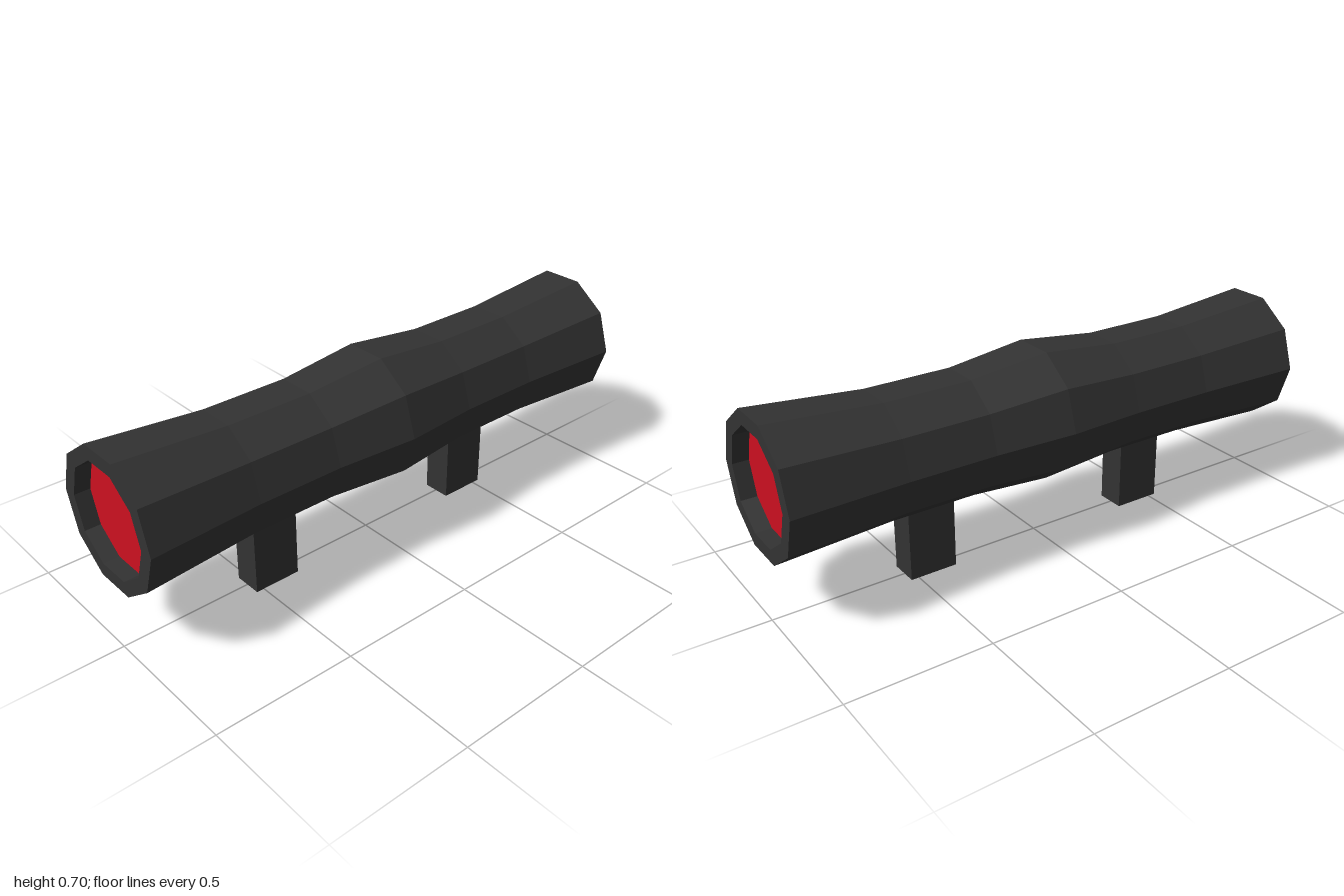
import * as THREE from 'three';

const AXIS_Y = 0.468;   // height of the tube's axis
const SIDES = 10;
const LENS_X = 0.945;   // lenses sit slightly inside the ends
const LENS_R = 0.192;

export function createModel() {
  const model = new THREE.Group();
  const black = new THREE.MeshStandardMaterial({ color: 0x333333, flatShading: true });
  const red = new THREE.MeshStandardMaterial({ color: 0xcc1020, flatShading: true });

  const add = (name, geometry, material, x, y, z = 0) => {
    const mesh = new THREE.Mesh(geometry, material);
    mesh.name = name;
    mesh.position.set(x, y, z);
    model.add(mesh);
    return mesh;
  };

  // Ten-sided tube with two waists; the profile turns in at both ends to form the rims
  const profile = [
    [LENS_R, -LENS_X], [LENS_R, -1], [0.243, -1], [0.216, -0.6], [0.216, -0.29], [0.243, 0],
    [0.216, 0.29], [0.216, 0.6], [0.243, 1], [LENS_R, 1], [LENS_R, LENS_X],
  ].map(([r, along]) => new THREE.Vector2(r, along));
  const tube = new THREE.LatheGeometry(profile, SIDES);
  tube.rotateZ(-Math.PI / 2);

  // The waists sag a little off the axis
  const p = tube.attributes.position;
  for (let i = 0; i < p.count; i++) {
    const ax = Math.abs(p.getX(i));
    if (ax > 0.1 && ax < 0.8) {
      p.setY(i, p.getY(i) - 0.006);
      p.setZ(i, p.getZ(i) - 0.003);
    }
  }
  add('tube', tube, black, 0, AXIS_Y);

  // A recessed lens at each end and a mounting post under each waist
  for (const [side, s] of [['left', 1], ['right', -1]]) {
    const lens = add(side + 'Lens', new THREE.CircleGeometry(LENS_R, SIDES), red, s * LENS_X, AXIS_Y);
    lens.rotation.y = s * Math.PI / 2;
    add(side + 'Post', new THREE.BoxGeometry(0.172, 0.29, 0.104), black, s * 0.442, 0.145, 0.003);
  }

  return model;
}
